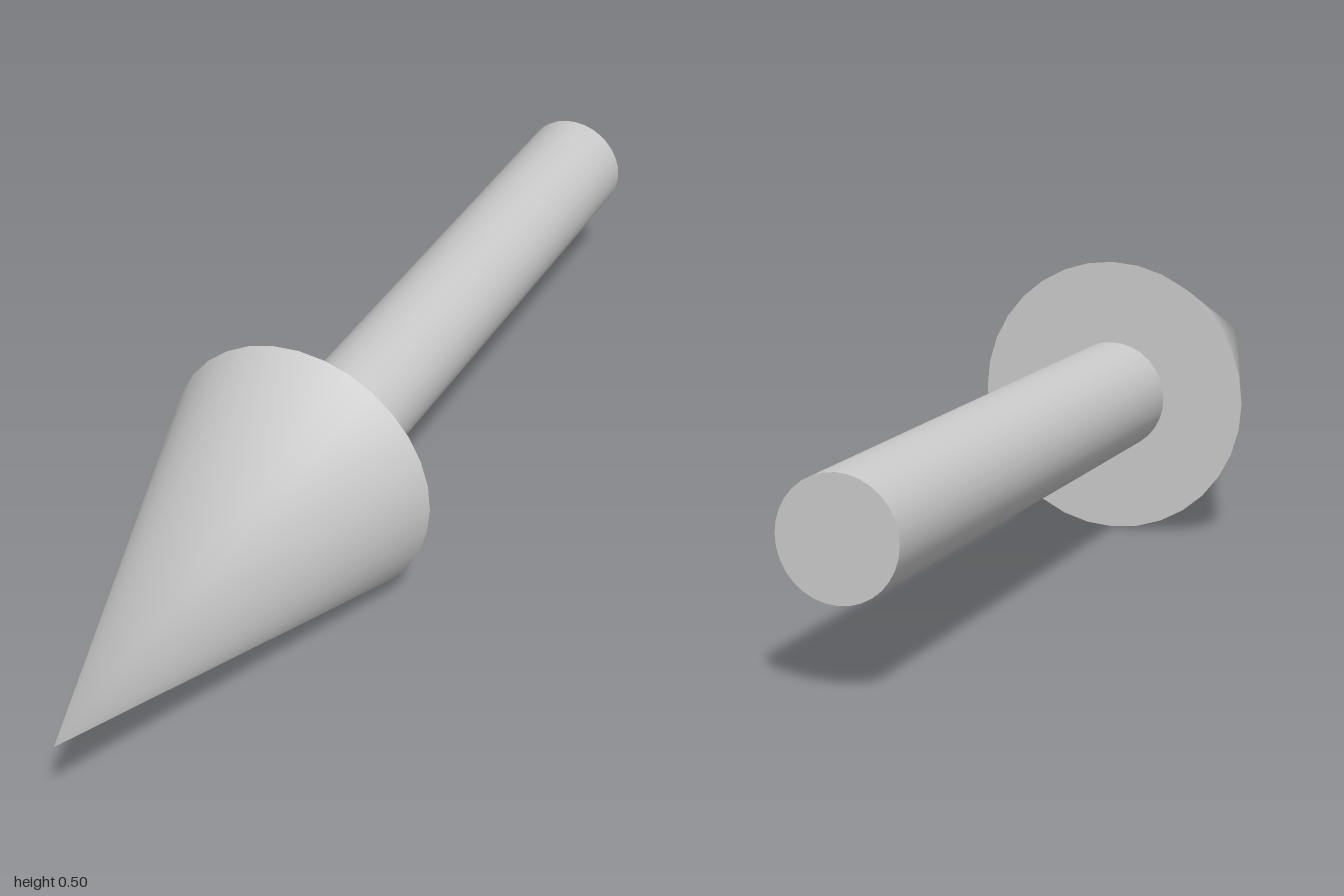
import * as THREE from 'three';

const SIDES = 32;
const AXIS_HEIGHT = 0.25;

export function createModel() {
  const group = new THREE.Group();
  group.name = 'arrow';
  const material = new THREE.MeshStandardMaterial({ color: 0xcccccc });

  // Turns a y-aligned geometry to point along +z and places it on the arrow's axis
  const addPart = (name, geometry, z) => {
    geometry.rotateX(Math.PI / 2);
    const mesh = new THREE.Mesh(geometry, material);
    mesh.name = name;
    mesh.position.set(0, AXIS_HEIGHT, z);
    group.add(mesh);
  };

  // Pointed head: the normals at the tip share one direction for a rounded shading
  const head = new THREE.ConeGeometry(0.25, 0.8, SIDES);
  for (let i = 0; i <= SIDES; i++) head.attributes.normal.setXYZ(i, 0, 1, 0);
  addPart('arrowHead', head, 0.6);

  // Round shaft behind the head
  addPart('shaft', new THREE.CylinderGeometry(0.1, 0.1, 1.2, SIDES), -0.4);

  return group;
}
